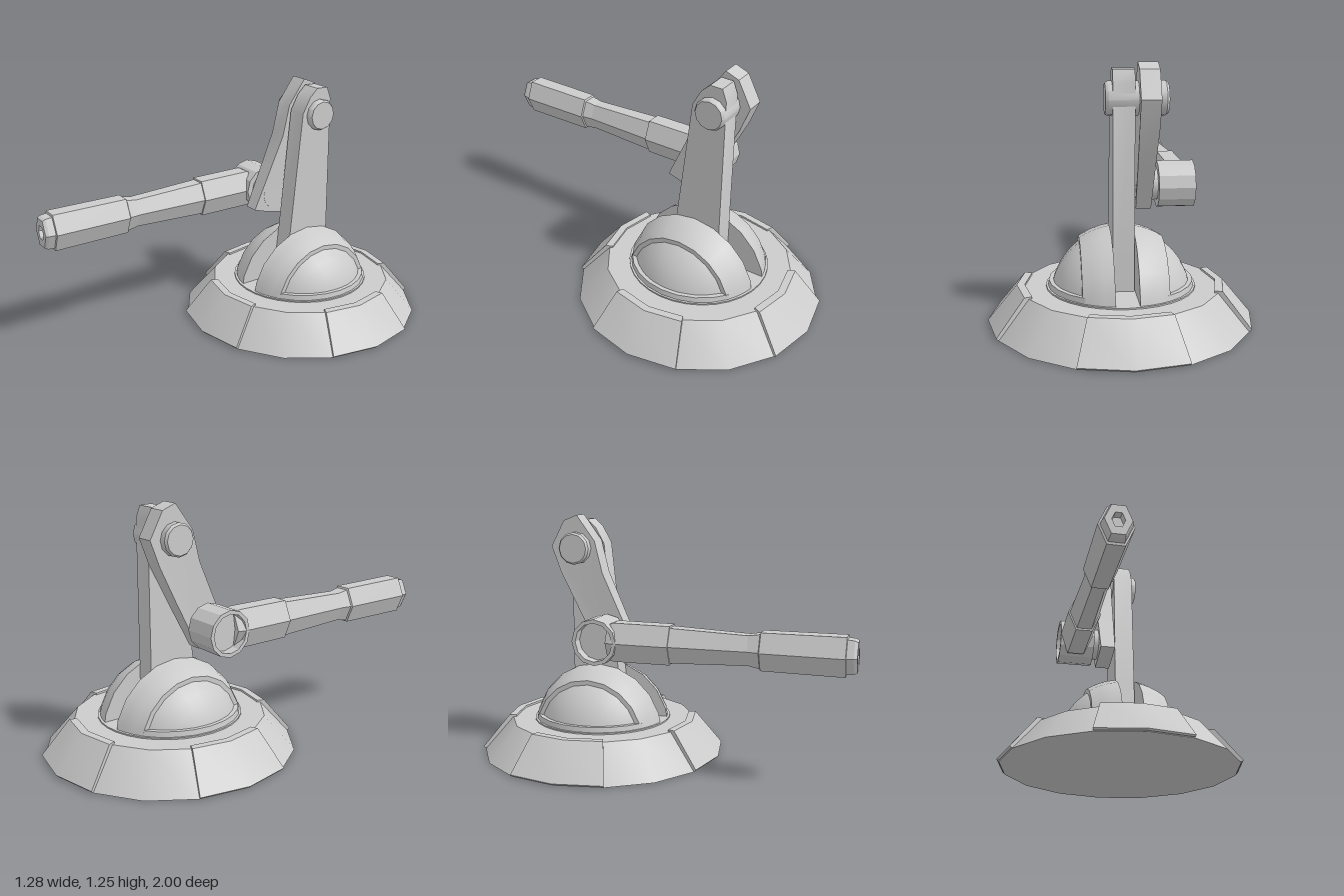
import * as THREE from 'three';
import { toCreasedNormals } from 'three/addons/utils/BufferGeometryUtils.js';

const smooth = new THREE.MeshStandardMaterial({ color: 0xcccccc, side: THREE.DoubleSide });
const flat = new THREE.MeshStandardMaterial({ color: 0xcccccc, side: THREE.DoubleSide, flatShading: true });

const BASE_Z = -0.36;
const DOME_Y = 0.115;

function add(parent, name, geometry, material = smooth, x = 0, y = 0, z = 0) {
  const geo = material === smooth ? toCreasedNormals(geometry, 0.6) : geometry;
  const mesh = new THREE.Mesh(geo, material);
  mesh.name = name;
  mesh.position.set(x, y, z);
  parent.add(mesh);
  return mesh;
}

// Profile of [radius, height] pairs turned around y
function turn(profile, segments, start = 0, length = Math.PI * 2) {
  return new THREE.LatheGeometry(profile.map(p => new THREE.Vector2(...p)), segments, start, length);
}

// Same, with the axis laid along x
const turnX = (profile, segments, start, length) =>
  turn(profile, segments, start, length).rotateZ(-Math.PI / 2);

// Outline of [z, y] pairs made into a plate between x0 and x1
function plate(outline, x0, x1) {
  const shape = new THREE.Shape(outline.map(([z, y]) => new THREE.Vector2(-z, y)));
  const geo = new THREE.ExtrudeGeometry(shape, { depth: x1 - x0, bevelEnabled: false });
  return geo.rotateY(Math.PI / 2).translate(x0, 0, 0);
}

// Points of a sphere from axis position a to b, as [radius, position]
function spherePoints(R, a, b, n) {
  const t0 = Math.acos(a / R), t1 = Math.acos(b / R);
  return Array.from({ length: n + 1 }, (_, i) => {
    const t = t0 + (t1 - t0) * i / n;
    return [R * Math.sin(t), R * Math.cos(t)];
  });
}

function makeBase() {
  const base = new THREE.Group();
  base.name = 'base';
  base.position.z = BASE_Z;
  add(base, 'baseBody', turn([[0, 0], [0.63, 0], [0.478, 0.175], [0, 0.175]], 16));
  add(base, 'domeSeat', turn([[0.36, 0.17], [0.36, 0.182], [0, 0.182]], 32));

  // Four raised panels around the sloping rim
  const profile = [[0.6, 0.004], [0.634, 0.004], [0.642, 0.012], [0.5, 0.185], [0.462, 0.185], [0.462, 0.17]];
  const shape = new THREE.Shape(profile.map(p => new THREE.Vector2(...p)));
  for (let k = 0; k < 4; k++) {
    const start = k * Math.PI / 2 - Math.PI / 8;
    add(base, 'rimPanel', turn(profile, 2, start, Math.PI / 4));
    for (const phi of [start, start + Math.PI / 4]) {
      add(base, 'rimPanelEnd', new THREE.ShapeGeometry(shape).rotateY(phi - Math.PI / 2));
    }
  }
  return base;
}

// One half of the slotted dome, on the +x side
function makeDomeHalf(name) {
  const half = new THREE.Group();
  half.name = name;
  const shell = [[0, 0.055], ...spherePoints(0.357, 0.055, 0.2, 3), [0.25, 0.2]];
  add(half, 'domeShell', turnX(shell, 10, Math.PI, Math.PI), smooth, 0, DOME_Y);
  add(half, 'domeInset', turnX(spherePoints(0.338, 0.15, 0.338, 6), 10, Math.PI, Math.PI), smooth, 0, DOME_Y);
  // Ledge below the inset
  const reach = Math.acos(0.19 / 0.35);
  add(half, 'domeLedge', turn([[0.352, 0.172], [0.346, 0.208], [0.3, 0.208]], 8, Math.PI / 2 - reach, reach * 2));
  return half;
}

function makeArms() {
  const arms = new THREE.Group();
  arms.name = 'arms';
  add(arms, 'uprightArm', plate([
    [-0.22, 0.182], [-0.252, 0.47], [-0.32, 1.1], [-0.365, 1.18], [-0.41, 1.222],
    [-0.475, 1.22], [-0.498, 1.16], [-0.498, 0.182],
  ], -0.052, 0.05));

  // Swinging arm, thinner toward its lower end
  const geo = plate([
    [-0.42, 1.248], [-0.49, 1.22], [-0.56, 1.09], [-0.51, 0.96], [-0.41, 0.76], [-0.29, 0.53],
    [-0.2, 0.55], [-0.113, 0.578], [-0.2, 0.77], [-0.285, 0.96], [-0.325, 1.12],
  ], -0.5, 0.5);
  const p = geo.attributes.position;
  for (let i = 0; i < p.count; i++) {
    const t = THREE.MathUtils.clamp((p.getY(i) - 0.6) / 0.36, 0, 1);
    p.setX(i, -0.118 + p.getX(i) * THREE.MathUtils.lerp(0.075, 0.094, t));
  }
  add(arms, 'swingArm', geo);

  // Pins at the upper and lower joints
  add(arms, 'upperPin', turnX([
    [0, -0.21], [0.072, -0.21], [0.081, -0.198], [0.081, 0.068], [0.072, 0.082], [0, 0.082],
  ], 12), smooth, 0, 1.083, -0.425);
  add(arms, 'lowerPin', turnX([
    [0, -0.22], [0.081, -0.22], [0.081, -0.078], [0, -0.078],
  ], 12), smooth, 0, 0.645, -0.25);
  return arms;
}

function makeHandle() {
  const handle = new THREE.Group();
  handle.name = 'handle';
  // Hollow hub, open on its outer side
  add(handle, 'handleHub', turnX([
    [0, -0.31], [0.096, -0.31], [0.096, -0.362], [0.115, -0.362], [0.115, -0.185], [0, -0.185],
  ], 12), flat, 0, 0.645, -0.255);

  // Six-sided bar with a narrow waist, a grip and a socketed tip
  const bar = turn([
    [0, -0.18], [0.072, -0.2], [0.083, -0.17], [0.082, 0.12], [0.074, 0.12], [0.062, 0.5],
    [0.07, 0.555], [0.078, 0.56], [0.08, 0.95], [0.07, 0.952], [0.067, 0.985], [0.06, 1],
    [0.029, 1], [0.029, 0.96], [0, 0.96],
  ], 6, Math.PI / 2);
  bar.rotateX(Math.PI / 2).scale(1, 1.33, 1);
  add(handle, 'handleBar', bar, flat, -0.28, 0.645, 0);
  return handle;
}

export function createModel() {
  const model = new THREE.Group();
  model.name = 'crankOnBase';
  const left = makeDomeHalf('leftDomeHalf');
  const right = makeDomeHalf('rightDomeHalf');
  right.rotation.y = Math.PI;
  for (const half of [left, right]) half.position.z = BASE_Z;
  model.add(makeBase(), left, right, makeArms(), makeHandle());
  return model;
}
